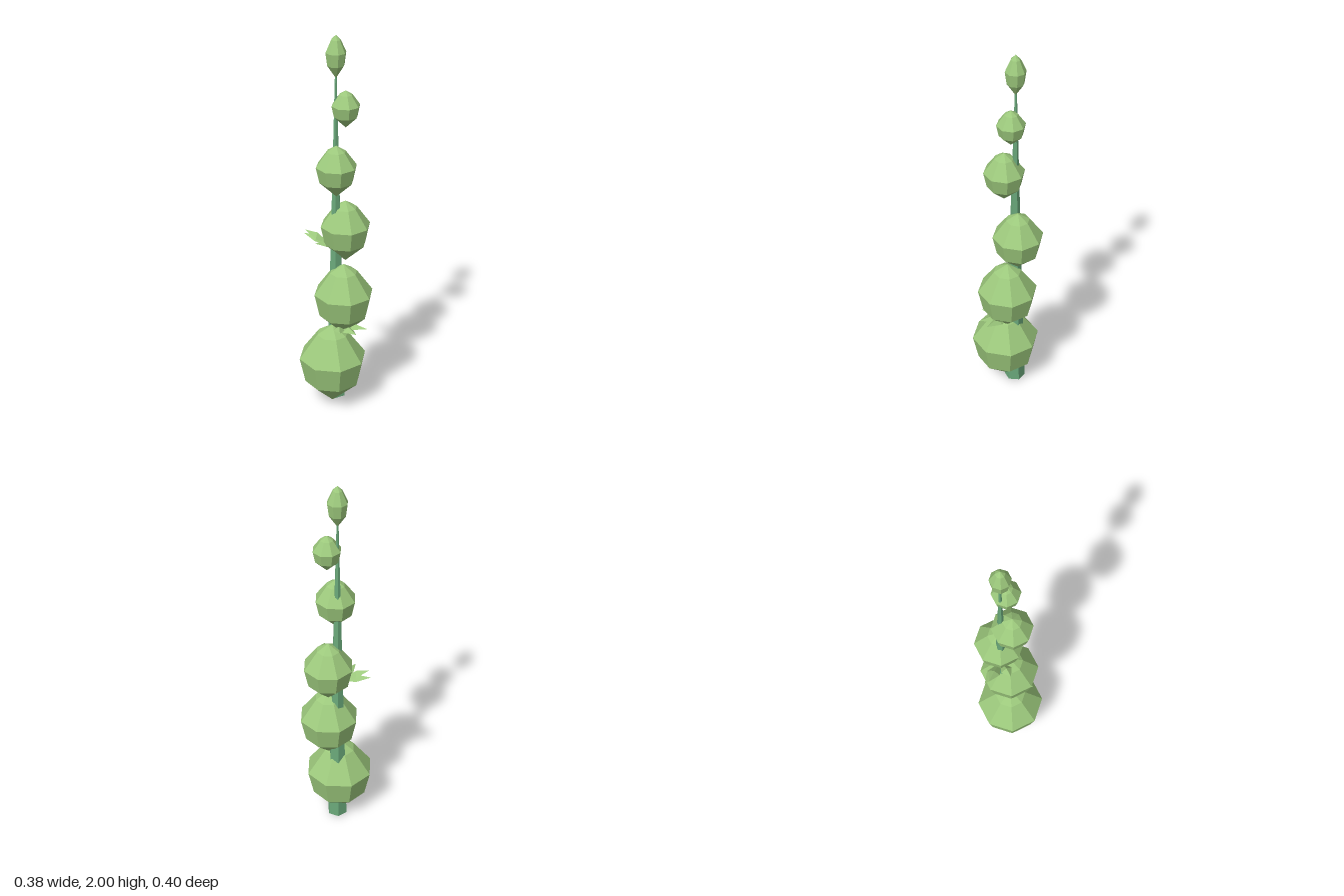
import * as THREE from 'three';

const budMat = new THREE.MeshStandardMaterial({ color: 0x9cc87c, flatShading: true });
const stemMat = new THREE.MeshStandardMaterial({ color: 0x6aa87a, flatShading: true });
const leafMat = new THREE.MeshStandardMaterial({ color: 0x9cc87c, flatShading: true, side: THREE.DoubleSide });

// Eight-sided bud: pointed base, full waist, softly domed tip
function makeBud(x, z, bottom, top, radius) {
  const h = top - bottom;
  const profile = [[0, 0], [0.83, 0.3], [1, 0.6], [0.46, 0.89], [0, 1]]
    .map(([r, y]) => new THREE.Vector2(r * radius, y * h));
  const bud = new THREE.Mesh(new THREE.LatheGeometry(profile, 8), budMat);
  bud.position.set(x, bottom, z);
  return bud;
}

// Pointed blade with a raised midrib, running from base to tip
function makeLeaf(base, tip, width) {
  const a = new THREE.Vector3(...base);
  const b = new THREE.Vector3(...tip);
  const side = new THREE.Vector3().subVectors(b, a).cross(new THREE.Vector3(0, 1, 0)).setLength(width / 2);
  const mid = a.clone().lerp(b, 0.55);
  const ridge = mid.clone().add(new THREE.Vector3(0, 0.025, 0));
  const left = mid.clone().sub(side);
  const right = mid.clone().add(side);
  const points = [a, ridge, left, a, right, ridge, ridge, b, left, ridge, right, b];
  const leaf = new THREE.Mesh(new THREE.BufferGeometry().setFromPoints(points), leafMat);
  leaf.geometry.computeVertexNormals();
  leaf.name = 'leaf';
  return leaf;
}

function makeLeafCluster(name, base, tips) {
  const cluster = new THREE.Group();
  cluster.name = name;
  tips.forEach((tip) => cluster.add(makeLeaf(base, tip, 0.06)));
  return cluster;
}

export function createModel() {
  const group = new THREE.Group();

  // Tapering stalk
  const stem = new THREE.Mesh(new THREE.CylinderGeometry(0.004, 0.054, 1.83, 6), stemMat);
  stem.name = 'stem';
  stem.position.set(-0.018, 0.915 + 0.01, -0.031);
  stem.rotation.y = Math.PI / 6;
  group.add(stem);

  // Buds shrinking up the stalk: x, z, bottom, top, radius
  [
    [-0.006, 0.022, 0.0, 0.46, 0.176],
    [0.035, -0.02, 0.4, 0.805, 0.153],
    [0.015, -0.07, 0.8, 1.135, 0.128],
    [0.013, 0.015, 1.19, 1.46, 0.103],
    [0.033, -0.04, 1.54, 1.73, 0.071],
    [-0.017, -0.03, 1.785, 2.0, 0.051],
  ].forEach((spec, i) => {
    const bud = makeBud(...spec);
    bud.name = `bud${i + 1}`;
    group.add(bud);
  });

  // Leaf tufts
  group.add(makeLeafCluster('lowerLeaves', [0.0, 0.43, -0.02], [
    [0.19, 0.48, 0.0], [0.164, 0.47, 0.066], [0.09, 0.475, 0.105], [0.14, 0.5, -0.05],
  ]));
  group.add(makeLeafCluster('upperLeaves', [-0.03, 0.89, -0.02], [
    [-0.185, 0.935, 0.005], [-0.17, 0.965, 0.02], [-0.07, 0.935, 0.08],
  ]));

  return group;
}
